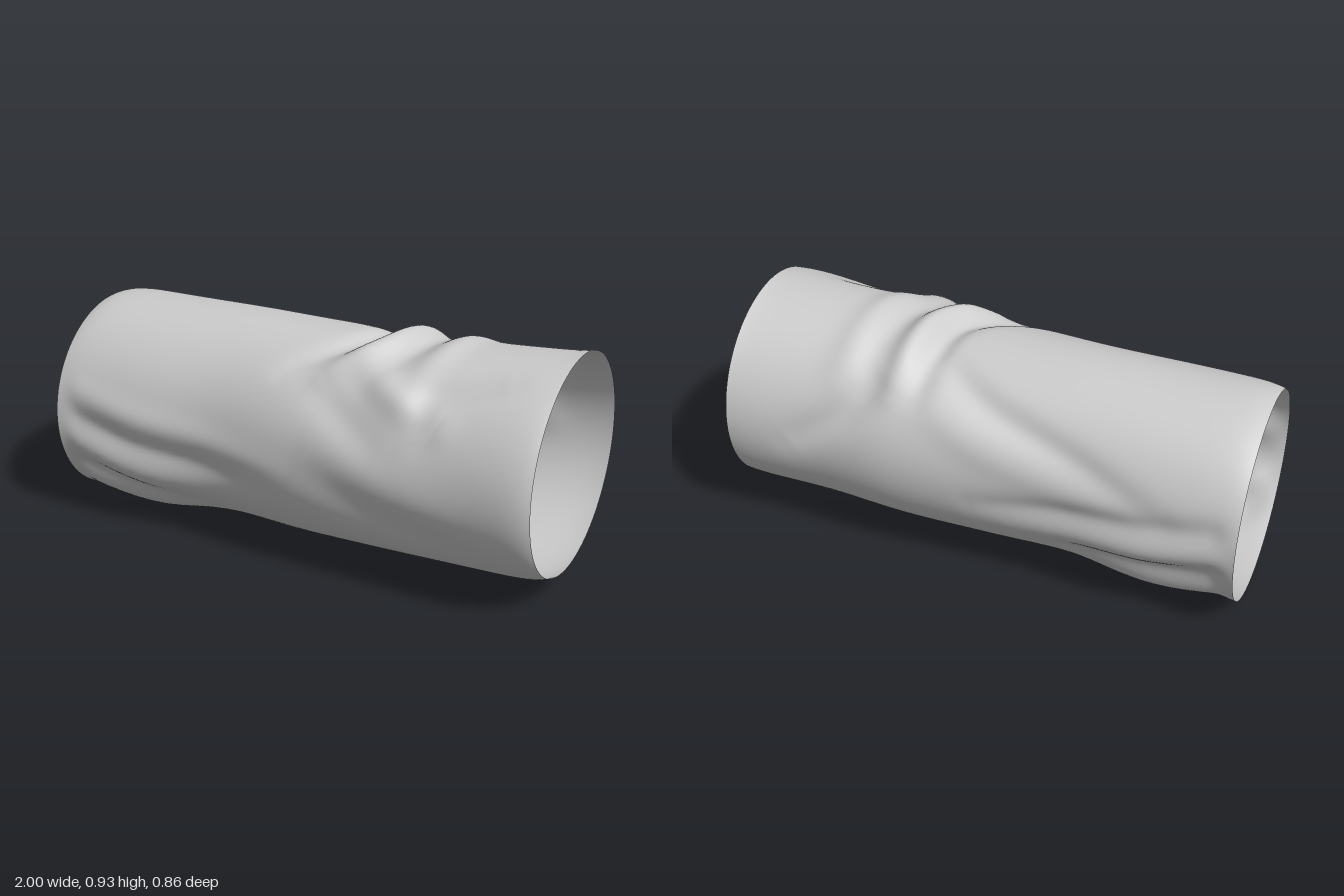
import * as THREE from 'three';

const DEG = Math.PI / 180;
const RADIUS = 0.42;
const RINGS = 200, SIDES = 144;

// Smooth outline through values spaced evenly from x = -1 to x = 1.
function outline(...values) {
  const curve = new THREE.SplineCurve(values.map((v, i) => new THREE.Vector2(i, v)));
  return (x) => curve.getPoint((x + 1) / 2).y;
}

// Outlines of the sleeve along its length.
const top = outline(0.857, 0.862, 0.87, 0.871, 0.875, 0.898, 0.918);
const bottom = outline(0.02, 0.0, 0.035, 0.04, 0.05, 0.063, 0.075);
const front = outline(0.405, 0.402, 0.378, 0.405, 0.418, 0.418, 0.432);
const back = outline(-0.4, -0.397, -0.38, -0.4, -0.422, -0.415, -0.44);

// Quick change of outline close to the rim at x = end.
const nearRim = (x, end) => Math.exp(-Math.abs(end - x) / 0.05);

// A ridge (height > 0) or valley (height < 0) along a curve from start over
// middle to end, each [x, degrees]: 0 = top, 90 = front, -90 = back.
function makeFold(height, width, start, middle, end) {
  const knots = [start, middle, end].map(([x, a]) => new THREE.Vector2(x, a * DEG * RADIUS));
  return { height, width, points: new THREE.SplineCurve(knots).getPoints(16) };
}

function makeFolds() {
  const folds = [
    // knot of cloth beside the bunched top
    makeFold(0.03, 0.065, [0.26, 24], [0.41, 42], [0.62, 56]),
    makeFold(-0.022, 0.06, [0.82, 28], [0.57, 42], [0.58, 62]),
    makeFold(-0.014, 0.07, [0.1, 46], [0.24, 58], [0.42, 74]),
    // long sag across the front
    makeFold(-0.014, 0.09, [0.1, 88], [0.4, 108], [0.8, 126]),
    makeFold(0.008, 0.1, [0.1, 70], [0.4, 86], [0.75, 102]),
    // diagonal creases falling down the back
    makeFold(-0.022, 0.06, [0.2, -22], [-0.05, -46], [-0.7, -78]),
    makeFold(0.012, 0.07, [0.26, -44], [0.02, -64], [-0.45, -84]),
    makeFold(-0.026, 0.065, [0.4, -38], [0.52, -64], [0.75, -90]),
    // flattened cloth low on the back of the right end
    makeFold(-0.015, 0.12, [-1, -108], [-0.75, -116], [-0.3, -126]),
  ];
  // bunched folds over the top, alternating valley and ridge
  for (let k = 0; k < 4; k++) {
    const x = 0.2 + 0.11 * k;
    const height = k % 2 ? 0.045 - 0.009 * k : -0.026 + 0.005 * k;
    folds.push(makeFold(height, 0.046 + 0.004 * k, [x + 0.05, -48], [x, 5], [x - 0.24 + 0.06 * k, 40]));
  }
  // pulled folds sweeping down from the right end, on the front and the back
  for (const side of [1, -1]) {
    for (let k = 0; k < 5; k++) {
      const a = side > 0 ? 70 + 15 * k : 76 + 14 * k;
      const isRidge = (k % 2 === 0) === (side > 0);
      const reach = 1 - 0.14 * k;
      folds.push(makeFold(isRidge ? 0.012 : -0.023, 0.055, [-1, a * side],
        [-1 + reach * 0.4, (a + 12) * side], [-1 + reach, (a + 24) * side]));
    }
  }
  return folds;
}

// Height of all folds at a spot on the unrolled surface.
function foldHeight(folds, x, a) {
  const v = a * RADIUS;
  let sum = 0;
  for (const { height, width, points } of folds) {
    let best = Infinity, along = 0;
    for (let k = 0; k < points.length - 1; k++) {
      const p = points[k], dx = points[k + 1].x - p.x, dv = points[k + 1].y - p.y;
      const t = THREE.MathUtils.clamp(((x - p.x) * dx + (v - p.y) * dv) / (dx * dx + dv * dv), 0, 1);
      const d = (p.x + dx * t - x) ** 2 + (p.y + dv * t - v) ** 2;
      if (d < best) { best = d; along = (k + t) / (points.length - 1); }
    }
    const fade = 0.25 + 0.75 * Math.sin(Math.PI * along);
    sum += height * fade * Math.exp(-best / (width * width));
  }
  // the rims stay round
  return sum * THREE.MathUtils.smoothstep(1 - Math.abs(x), 0, 0.1);
}

// Open tube of cross-sections along x.
function sleeveGeometry() {
  const folds = makeFolds();
  const position = [], index = [];
  for (let i = 0; i <= RINGS; i++) {
    const x = -1 + (2 * i) / RINGS;
    const yMax = top(x) - 0.027 * nearRim(x, -1) + 0.007 * nearRim(x, 1);
    const yMin = bottom(x) + 0.015 * nearRim(x, 1);
    const zMax = front(x) + 0.005 * nearRim(x, -1) - 0.032 * nearRim(x, 1);
    const zMin = back(x);
    const cy = (yMax + yMin) / 2, ry = (yMax - yMin) / 2;
    const cz = (zMax + zMin) / 2, rz = (zMax - zMin) / 2;
    for (let j = 0; j < SIDES; j++) {
      const a = -Math.PI + (j / SIDES) * 2 * Math.PI;
      const f = foldHeight(folds, x, a);
      position.push(x, cy + (ry + f) * Math.cos(a), cz + (rz + f) * Math.sin(a));
      if (i < RINGS) {
        const p = i * SIDES + j, q = i * SIDES + ((j + 1) % SIDES);
        index.push(p, q, p + SIDES, q, q + SIDES, p + SIDES);
      }
    }
  }
  const geometry = new THREE.BufferGeometry();
  geometry.setAttribute('position', new THREE.Float32BufferAttribute(position, 3));
  geometry.setIndex(index);
  geometry.computeVertexNormals();
  return geometry;
}

export function createModel() {
  const group = new THREE.Group();
  group.name = 'clothSleeve';
  const cloth = new THREE.MeshStandardMaterial({ color: 0xcccccc, side: THREE.DoubleSide });
  const sleeve = new THREE.Mesh(sleeveGeometry(), cloth);
  sleeve.name = 'sleeve';
  group.add(sleeve);
  return group;
}
